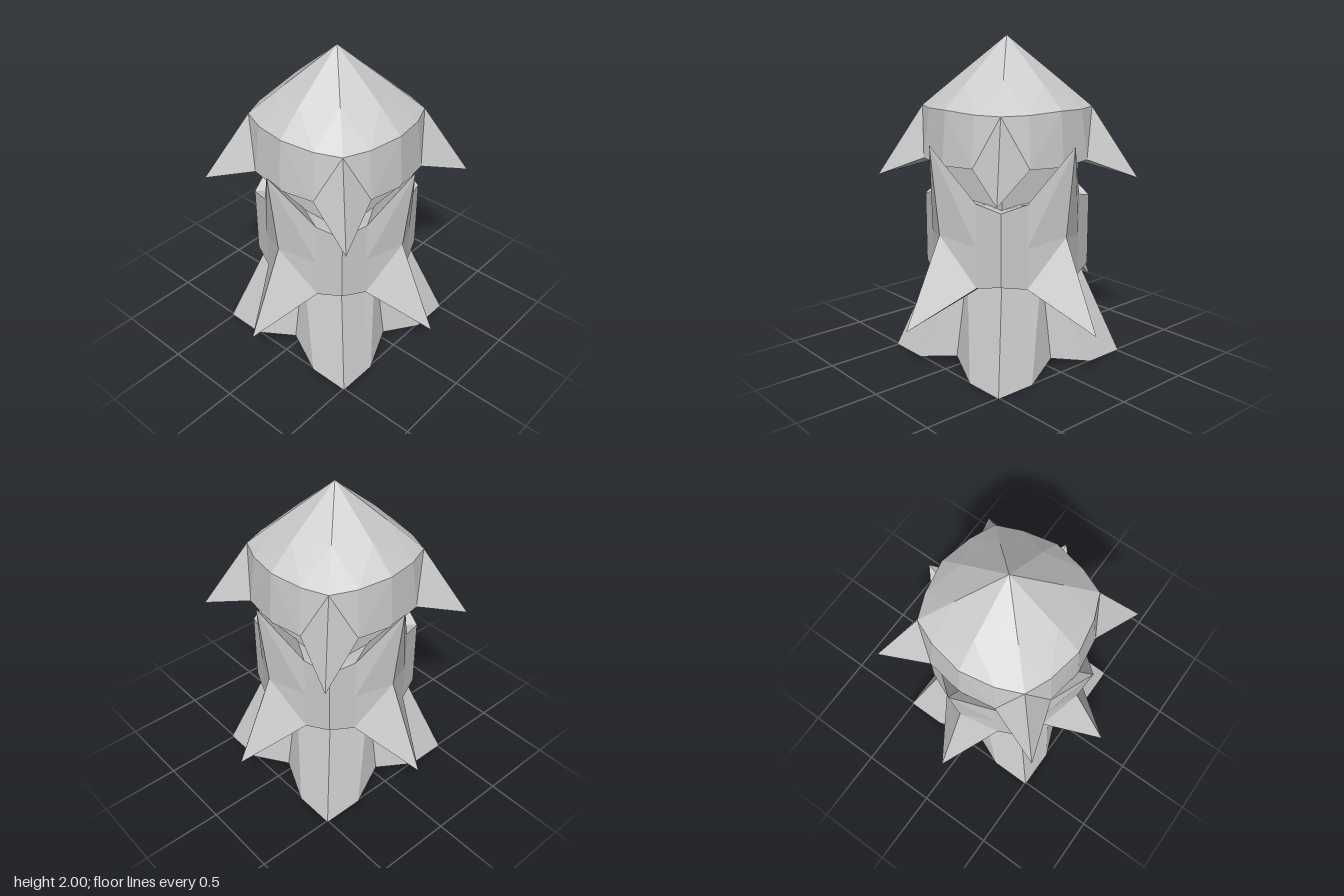
import * as THREE from 'three';

const material = new THREE.MeshStandardMaterial({ color: 0xcccccc, flatShading: true });

// A 16-point ring with four-fold symmetry, from the middle of a side [z, y],
// the point beside the corner [x, z, y] and the corner [x = z, y].
function ring([mz, my], [ex, ez, ey], [c, cy]) {
  const side = [[0, my, mz], [ex, ey, ez], [c, cy, c], [ez, ey, ex]];
  const points = [];
  for (let q = 0; q < 4; q++) {
    for (const p of side) {
      let [x, y, z] = p;
      for (let k = 0; k < q; k++) [x, z] = [z, -x];
      points.push(new THREE.Vector3(x, y, z));
    }
  }
  return points;
}

// A ring collapsed to one point on the axis.
const pole = (y) => ring([0, y], [0, 0, y], [0, y]);

// Skins rings listed from the bottom up along the outside, with mirrored diagonals.
function loft(name, rings) {
  const pos = [];
  const tri = (...t) => {
    const area = new THREE.Triangle(...t).getArea();
    if (area > 1e-7) t.forEach((p) => pos.push(p.x, p.y, p.z));
  };
  for (let r = 0; r < rings.length - 1; r++) {
    const a = rings[r], b = rings[r + 1];
    for (let i = 0; i < 16; i++) {
      const j = (i + 1) % 16;
      if (i % 2 === 0) {
        tri(a[i], a[j], b[i]);
        tri(a[j], b[j], b[i]);
      } else {
        tri(a[i], a[j], b[j]);
        tri(a[i], b[j], b[i]);
      }
    }
  }
  const geometry = new THREE.BufferGeometry();
  geometry.setAttribute('position', new THREE.Float32BufferAttribute(pos, 3));
  geometry.computeVertexNormals();
  const mesh = new THREE.Mesh(geometry, material);
  mesh.name = name;
  return mesh;
}

export function createModel() {
  const model = new THREE.Group();
  model.name = 'spikedTower';

  // Flared foot with a shallow arch in each side
  model.add(loft('flaredBase', [
    pole(0),
    ring([0.41, 0.06], [0.25, 0.51, 0], [0.51, 0]),
    ring([0.32, 0.61], [0.145, 0.315, 0.61], [0.315, 0.61]),
    pole(0.61),
  ]));

  // Square neck running up into the cap
  model.add(loft('neck', [
    ring([0.31, 0.55], [0.2, 0.31, 0.55], [0.31, 0.55]),
    ring([0.31, 1.3], [0.2, 0.31, 1.3], [0.31, 1.3]),
  ]));

  // Collar with an upper and a lower spike on each side
  model.add(loft('spikedCollar', [
    ring([0.3, 0.55], [0.19, 0.3, 0.57], [0.3, 0.59]),
    ring([0.78, 0.32], [0.21, 0.42, 0.56], [0.36, 0.59]),
    ring([0.525, 0.86], [0.21, 0.42, 0.81], [0.36, 0.81]),
    ring([0.585, 1.4], [0.21, 0.42, 1.07], [0.36, 1.03]),
    ring([0.3, 1.04], [0.19, 0.3, 1.04], [0.3, 1.03]),
  ]));

  // Pointed cap with a drooping spike at each corner
  model.add(loft('pointedCap', [
    ring([0.3, 1.28], [0.2, 0.3, 1.28], [0.3, 1.28]),
    ring([0.495, 1.27], [0.23, 0.46, 1.28], [0.57, 1.14]),
    ring([0.47, 1.59], [0.21, 0.43, 1.58], [0.365, 1.58]),
    ring([0.32, 1.73], [0.105, 0.265, 1.745], [0.21, 1.76]),
    pole(2),
  ]));

  return model;
}
